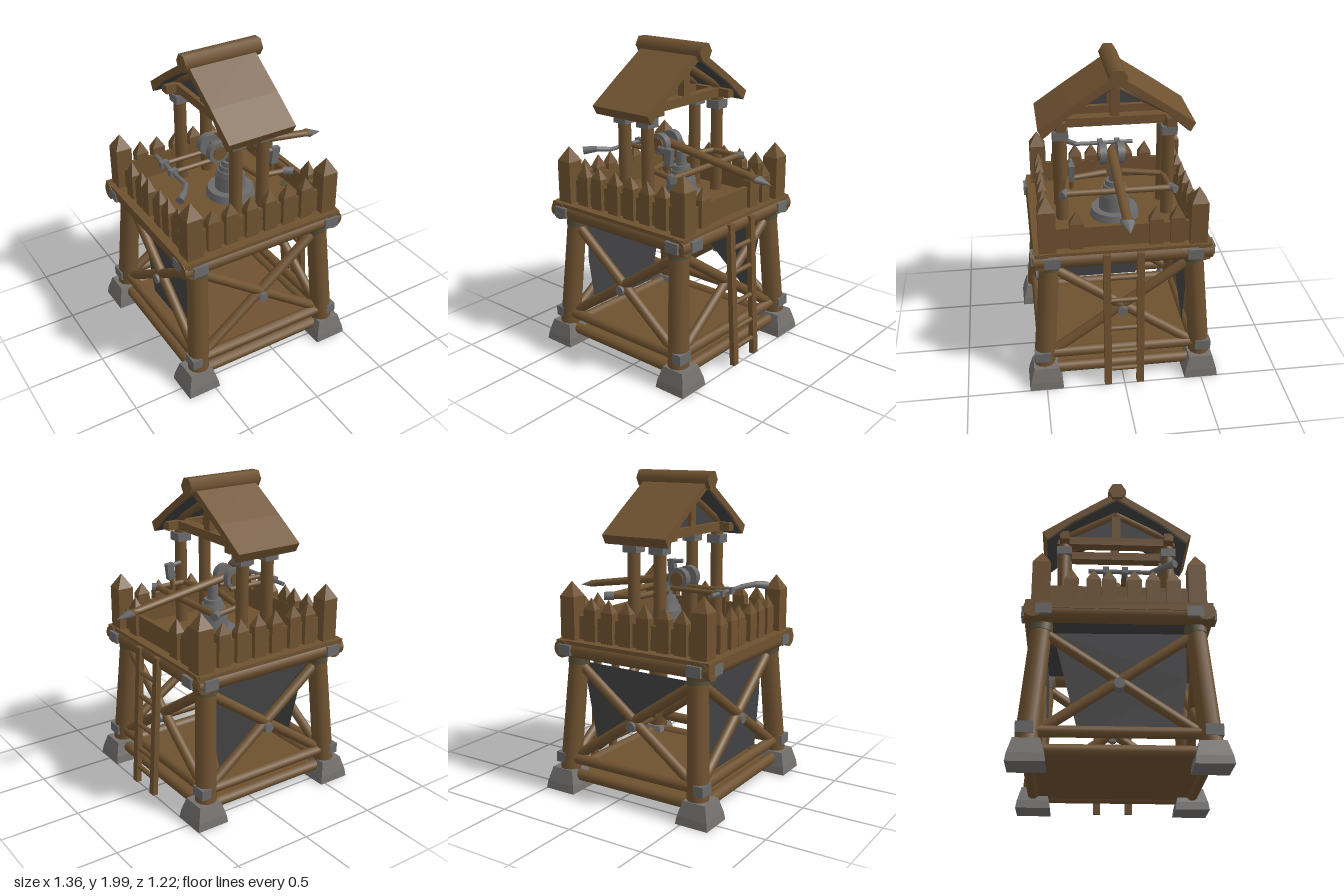
import * as THREE from 'three';

export function createModel() {
  const root = new THREE.Group();
  root.name = 'watchtower';
  const mat = (name, color, side = THREE.FrontSide) => {
    const m = new THREE.MeshStandardMaterial({ color, side });
    m.name = name;
    return m;
  };
  const wood = mat('wood', 0x6f5230);
  const metal = mat('grey metal', 0x6c6b6b);
  const stone = mat('stone', 0x74716e);
  const dark = mat('dark cloth', 0x424244, THREE.DoubleSide);
  const moss = mat('mossy iron', 0x544e38);

  const add = (name, geo, m, x = 0, y = 0, z = 0) => {
    const mesh = new THREE.Mesh(geo, m);
    mesh.name = name;
    mesh.position.set(x, y, z);
    root.add(mesh);
    return mesh;
  };
  const box = (name, m, x, y, z, w, h, d) => add(name, new THREE.BoxGeometry(w, h, d), m, x, y, z);
  // Cylinder between two points
  const rod = (name, m, a, b, r0, r1 = r0, sides = 10) => {
    const p = new THREE.Vector3(...a), q = new THREE.Vector3(...b);
    const dir = q.clone().sub(p);
    const mesh = add(name, new THREE.CylinderGeometry(r1, r0, dir.length(), sides), m);
    mesh.position.copy(p).add(q).multiplyScalar(0.5);
    mesh.quaternion.setFromUnitVectors(new THREE.Vector3(0, 1, 0), dir.normalize());
    return mesh;
  };
  // Four-sided prism that narrows towards the top
  const taper = (top, bottom, h) => {
    const g = new THREE.CylinderGeometry(top * Math.SQRT1_2, bottom * Math.SQRT1_2, h, 4).toNonIndexed();
    g.rotateY(Math.PI / 4);
    g.computeVertexNormals();
    return g;
  };
  // Pointed stake
  const stake = (name, x, z, w, d, y0, shoulder, tip) => {
    box(name, wood, x, (y0 + shoulder) / 2, z, w, shoulder - y0, d);
    const h = tip - shoulder;
    add(name + 'Tip', taper(0.001, 1, h), wood, x, shoulder + h / 2, z).scale.set(w, 1, d);
  };

  const cx = -0.09;

  // Stone feet, leaning legs and corner posts
  for (const sx of [-1, 1]) {
    for (const sz of [-1, 1]) {
      const fx = cx + sx * 0.485;
      add('foot', taper(0.2, 0.215, 0.05), stone, fx, 0.025, sz * 0.5);
      add('footTop', taper(0.15, 0.2, 0.09), stone, fx, 0.095, sz * 0.5);
      rod('leg', wood, [cx + sx * 0.472, 0.12, sz * 0.505], [cx + sx * 0.43, 0.88, sz * 0.445], 0.067, 0.062, 12);
      rod('legCuff', moss, [cx + sx * 0.434, 0.815, sz * 0.45], [cx + sx * 0.431, 0.865, sz * 0.446], 0.067, 0.067, 12);
      stake('cornerPost', cx + sx * 0.47, sz * 0.457, 0.105, 0.105, 0.95, 1.24, 1.33);
      // Metal plates around the beam ends
      box('beamPlate', metal, cx + sx * 0.465, 0.915, sz * 0.5, 0.095, 0.065, 0.125);
      box('beamPlateSide', metal, cx + sx * 0.498, 0.915, sz * 0.435, 0.125, 0.065, 0.095);
      box('lowerPlate', metal, cx + sx * 0.505, 0.21, sz * 0.515, 0.065, 0.065, 0.1);
    }
  }

  // Beams, cross braces and centre bosses on each side
  for (const s of [-1, 1]) {
    rod('deckBeam', wood, [-0.65, 0.915, s * 0.495], [0.45, 0.915, s * 0.495], 0.056, 0.056, 12);
    rod('deckBeam', wood, [cx + s * 0.495, 0.915, -0.545], [cx + s * 0.495, 0.915, 0.545], 0.056, 0.056, 12);
    rod('lowerBeam', wood, [-0.6, 0.205, s * 0.51], [0.43, 0.205, s * 0.51], 0.034);
    rod('lowerBeam', wood, [cx + s * 0.475, 0.205, -0.55], [cx + s * 0.475, 0.205, 0.55], 0.034);
    rod('footBeam', wood, [-0.52, 0.095, s * 0.5], [0.34, 0.095, s * 0.5], 0.036);
    rod('footBeam', wood, [cx + s * 0.485, 0.095, -0.45], [cx + s * 0.485, 0.095, 0.45], 0.036);
    for (const k of [-1, 1]) {
      rod('braceFrontBack', wood, [cx - k * 0.42, 0.22, s * 0.49], [cx + k * 0.4, 0.8, s * 0.455], 0.032);
      rod('braceSide', wood, [cx + s * 0.46, 0.22, -k * 0.43], [cx + s * 0.435, 0.8, k * 0.41], 0.032);
    }
    rod('braceBoss', metal, [cx, 0.49, s * 0.45], [cx, 0.49, s * 0.52], 0.038, 0.032, 12);
    rod('braceBoss', metal, [cx + s * 0.43, 0.49, 0], [cx + s * 0.495, 0.49, 0], 0.038, 0.032, 12);
  }

  // Deck with mossy spots and a dark underside, and ground floor
  box('deck', wood, -0.1, 0.945, 0, 1.09, 0.05, 1.08);
  box('deckUnderside', dark, cx, 0.916, 0, 0.96, 0.008, 0.96);
  for (const z of [-0.1, 0.1]) rod('deckSpot', moss, [0.33, 0.968, z], [0.33, 0.974, z], 0.03);
  box('groundFloor', wood, cx, 0.09, 0, 0.97, 0.02, 1.0);

  // Dark sheets hung inside the back and right walls
  const outline = pts => new THREE.Shape(pts.map(p => new THREE.Vector2(...p)));
  const sheet = (name, pts) => add(name, new THREE.ShapeGeometry(outline(pts)), dark);
  sheet('backSheet', [[-0.47, 0.81], [0.33, 0.82], [0.22, 0.25]]).position.z = -0.42;
  const side = sheet('sideSheet', [[-0.39, 0.84], [0.38, 0.83], [0.22, 0.2], [-0.34, 0.2], [-0.39, 0.55]]);
  side.rotation.y = Math.PI / 2;
  side.position.x = cx - 0.4;

  // Palisade stakes and rails
  for (const s of [-1, 1]) {
    [-0.42, -0.3, -0.16, -0.03, 0.1, 0.23].forEach((x, i) =>
      stake('stake', x, s * 0.458, 0.085, 0.055, 0.96, 1.16 + (i % 2) * 0.01, 1.24));
    box('rail', wood, cx, 1.0, s * 0.445, 0.85, 0.07, 0.03);
    box('rail', wood, cx, 1.075, s * 0.445, 0.85, 0.085, 0.025);
    box('sideRail', wood, cx + s * 0.46, 1.035, 0, 0.03, 0.14, 0.85);
  }
  [-0.28, -0.15, -0.06, 0.09, 0.2, 0.32].forEach(z => stake('stake', -0.565, z, 0.055, 0.085, 0.96, 1.14, 1.22));
  [-0.33, -0.2, 0.28].forEach(z => stake('stake', 0.38, z, 0.055, 0.085, 0.96, 1.14, 1.22));

  // Ladder leaning on the left side
  for (const z of [-0.098, 0.108]) {
    const rail = box('ladderRail', wood, 0.483, 0.485, z, 0.035, 0.935, 0.045);
    rail.rotation.z = 0.055;
  }
  for (const y of [0.13, 0.26, 0.43, 0.63, 0.79]) {
    const x = 0.51 - y * 0.055;
    rod('rung', wood, [x, y, -0.12], [x, y, 0.13], 0.016, 0.016, 8);
  }

  // Roof posts, collars and gable frame
  for (const x of [-0.187, 0]) {
    for (const z of [-0.335, 0.335]) {
      rod('roofPost', wood, [x, 0.96, z], [x, 1.64, z], 0.04);
      box('postCollar', metal, x, 1.55, z, 0.095, 0.055, 0.095);
    }
    box('tieBeam', wood, x, 1.63, 0, 0.07, 0.055, 0.76);
    box('kingPost', wood, x, 1.73, 0, 0.05, 0.2, 0.055);
    for (const s of [-1, 1])
      rod('rafter', wood, [x, 1.65, s * 0.37], [x, 1.85, 0], 0.026, 0.026, 6);
  }
  for (const z of [-0.335, 0.335]) box('eaveBeam', wood, -0.09, 1.63, z, 0.4, 0.055, 0.06);

  // Roof slopes swept along x, with a dark lining and gable
  const sweep = (name, m, pts, x0, depth) => {
    const g = new THREE.ExtrudeGeometry(outline(pts), { depth, bevelEnabled: false });
    g.rotateY(Math.PI / 2);
    add(name, g, m, x0);
  };
  for (const s of [-1, 1]) {
    const top = [[0, 1.95], [s * 0.28, 1.765], [s * 0.475, 1.63]];
    const under = [[s * 0.445, 1.575], [s * 0.29, 1.71], [0, 1.895]];
    const lining = [[0, 1.889], [s * 0.29, 1.704], [s * 0.43, 1.582]];
    sweep('roof', wood, [...top, ...under], -0.315, 0.445);
    sweep('roofLining', dark, [...under, ...lining], -0.305, 0.425);
  }
  sweep('gableSheet', dark, [[-0.33, 1.65], [0.33, 1.65], [0, 1.87]], -0.19, 0.006);
  rod('ridgeLog', wood, [-0.345, 1.942, 0], [0.172, 1.942, 0], 0.058, 0.058, 6);

  // Swivel pedestal
  [[0.16, 0.97, 1.02], [0.1, 1.02, 1.12], [0.09, 1.12, 1.15], [0.075, 1.15, 1.18], [0.06, 1.18, 1.21], [0.035, 1.21, 1.3]].forEach(([r, a, b]) =>
    rod('pedestal', metal, [-0.02, a, 0], [-0.02, b, 0], r, r * 0.93, 14));

  // Torsion drums on both sides of the bolt, and bow arms
  for (const s of [-1, 1]) {
    rod('drum', metal, [-0.145, 1.335, s * 0.035], [-0.145, 1.335, s * 0.08], 0.07, 0.07, 14);
    rod('drumCore', wood, [-0.145, 1.335, s * 0.08], [-0.145, 1.335, s * 0.09], 0.045, 0.045, 12);
    rod('bowArm', wood, [-0.05, 1.25, s * 0.05], [0.0, 1.245, s * 0.3], 0.022, 0.018, 8);
    rod('bowLink', wood, [0, 1.245, s * 0.3], [0.17, 1.235, s * 0.32], 0.018, 0.018, 8);
    rod('bowTip', metal, [0.165, 1.235, s * 0.315], [0.215, 1.235, s * 0.35], 0.026, 0.026, 8);
  }
  rod('bowBar', wood, [0.187, 1.235, -0.32], [0.187, 1.235, 0.32], 0.021, 0.021, 8);

  // Great bolt with a flat point
  rod('boltShaft', wood, [-0.15, 1.343, 0], [0.56, 1.232, 0], 0.034, 0.028, 10).scale.x = 0.8;
  rod('boltHead', wood, [0.52, 1.238, 0], [0.575, 1.23, 0], 0.026, 0.046, 8).scale.x = 0.5;
  rod('boltPoint', metal, [0.575, 1.23, 0], [0.673, 1.212, 0], 0.046, 0.001, 8).scale.x = 0.5;

  // Sight block
  box('sightBlock', metal, 0.12, 1.345, 0.28, 0.05, 0.105, 0.035).rotation.z = -0.12;
  rod('sightArm', metal, [0.04, 1.39, 0.28], [0.12, 1.38, 0.28], 0.014, 0.014, 8);
  rod('sightStem', wood, [0.1, 1.23, 0.28], [0.115, 1.32, 0.28], 0.014, 0.014, 8);

  // Winch crank behind the bolt
  for (const z of [-0.075, 0.04]) {
    rod('winchArm', wood, [-0.44, 1.275, z], [-0.1, 1.275, z], 0.016, 0.016, 8);
    box('winchBracket', metal, -0.445, 1.275, z, 0.055, 0.04, 0.035);
  }
  rod('crankShaft', metal, [-0.445, 1.275, -0.18], [-0.445, 1.275, 0.21], 0.014, 0.014, 8);
  rod('crankElbow', metal, [-0.445, 1.275, 0.2], [-0.5, 1.285, 0.28], 0.016, 0.018, 8);
  rod('crankHandle', metal, [-0.5, 1.285, 0.28], [-0.56, 1.275, 0.335], 0.02, 0.026, 8);

  return root;
}
